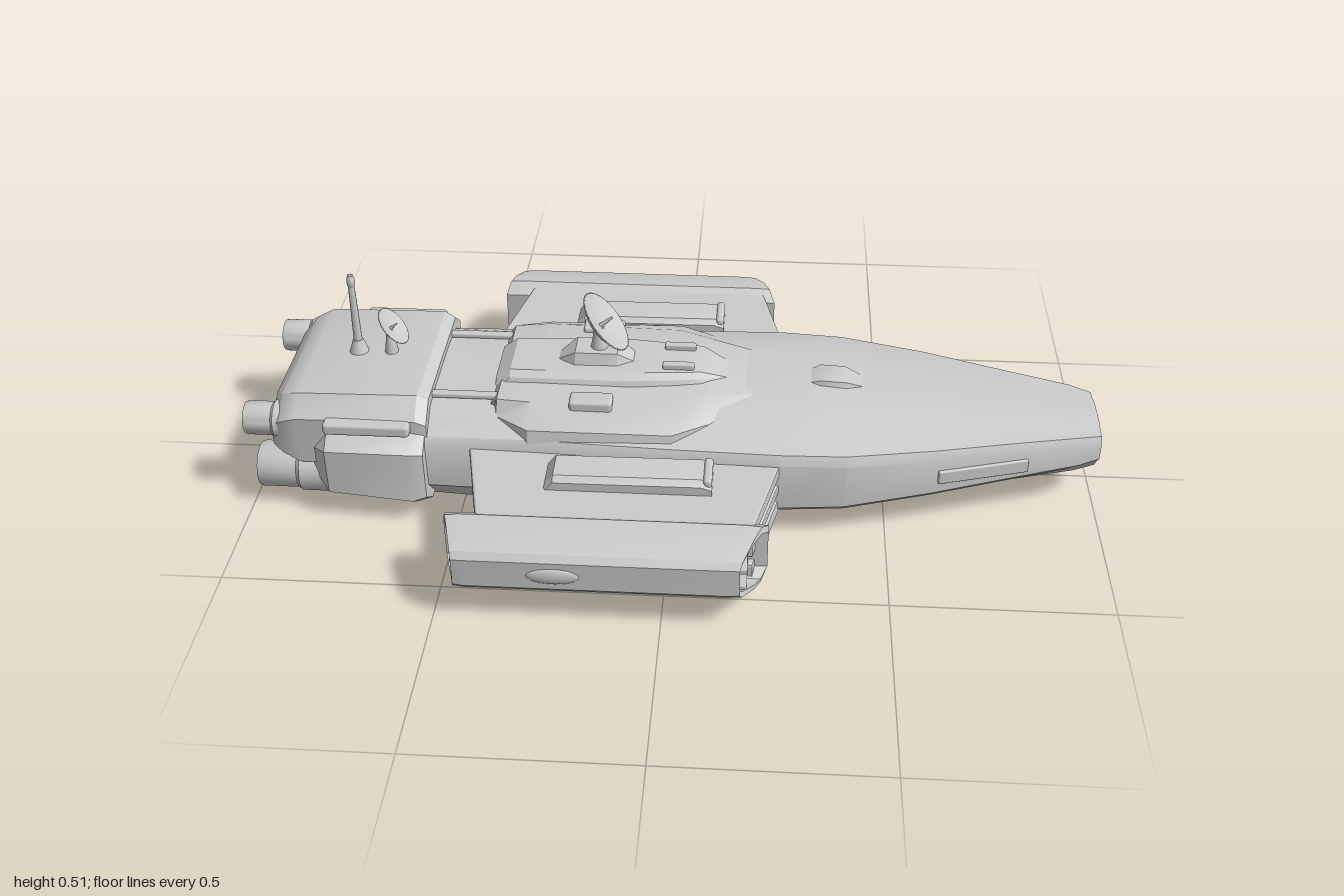
import * as THREE from 'three';
import { toCreasedNormals } from 'three/addons/utils/BufferGeometryUtils.js';
import { RoundedBoxGeometry } from 'three/addons/geometries/RoundedBoxGeometry.js';

const grey = new THREE.MeshStandardMaterial({ color: 0xcccccc });
const greyDouble = new THREE.MeshStandardMaterial({ color: 0xcccccc, side: THREE.DoubleSide });

function add(parent, name, geometry, x = 0, y = 0, z = 0, material = grey) {
  const mesh = new THREE.Mesh(geometry, material);
  mesh.name = name;
  mesh.position.set(x, y, z);
  parent.add(mesh);
  return mesh;
}

// Skin through closed rings of [x, y, z] running along +x, with capped ends
function loft(rings, crease = 0.5) {
  const n = rings[0].length, pos = [], idx = [];
  let area = 0;
  rings[0].forEach((p, j) => {
    const q = rings[0][(j + 1) % n];
    area += p[1] * q[2] - q[1] * p[2];
  });
  const ordered = rings.map(r => (area < 0 ? [...r].reverse() : r));
  ordered.forEach(r => r.forEach(p => pos.push(...p)));
  for (let i = 0; i < rings.length - 1; i++) {
    for (let j = 0; j < n; j++) {
      const k = (j + 1) % n, a = i * n + j, b = i * n + k;
      idx.push(a, b, a + n, b, b + n, a + n);
    }
  }
  [ordered[0], ordered[ordered.length - 1]].forEach((r, end) => {
    const c = pos.length / 3, base = end ? (rings.length - 1) * n : 0;
    pos.push(...[0, 1, 2].map(k => r.reduce((s, p) => s + p[k], 0) / n));
    for (let j = 0; j < n; j++) {
      const k = (j + 1) % n;
      idx.push(c, base + (end ? j : k), base + (end ? k : j));
    }
  });
  const g = new THREE.BufferGeometry();
  g.setAttribute('position', new THREE.Float32BufferAttribute(pos, 3));
  g.setIndex(idx);
  return toCreasedNormals(g, crease);
}

// Symmetric ring from a half outline of [z, y], listed top to bottom
const ringAt = (x, half) => [
  ...half.map(([z, y]) => [x, y, z]),
  ...[...half].reverse().map(([z, y]) => [x, y, -z]),
];

// Copy of a ring shrunk about its centre and moved along x
function inset(ring, scale, dx) {
  const c = [1, 2].map(k => ring.reduce((s, p) => s + p[k], 0) / ring.length);
  return ring.map(([x, y, z]) => [x + dx, c[0] + (y - c[0]) * scale, c[1] + (z - c[1]) * scale]);
}

// Horizontal slab with plan outline [x, z] between two heights
function slab(outline, y0, y1) {
  const shape = new THREE.Shape(outline.map(p => new THREE.Vector2(...p)));
  const b = 0.006;
  const g = new THREE.ExtrudeGeometry(shape, {
    depth: y1 - y0 - 2 * b, bevelThickness: b, bevelSize: b, bevelOffset: -b, bevelSegments: 2,
  });
  return g.rotateX(Math.PI / 2).translate(0, y1 - b, 0);
}

const box = (w, h, d, r = 0.008) => new RoundedBoxGeometry(w, h, d, 2, r);

// Dish on a stalk, facing up and toward the nose
function dish(name, radius, x, y, foot) {
  const g = new THREE.Group();
  g.name = name;
  const bowl = [[0, -0.2], [0.35, -0.17], [0.7, -0.06], [1, 0.12], [0.95, 0.14], [0.65, 0], [0, -0.1]];
  const head = new THREE.Group();
  head.position.set(x, y, 0);
  head.rotation.z = -0.87;
  add(head, 'bowl', new THREE.LatheGeometry(
    bowl.map(([r, h]) => new THREE.Vector2(r * radius, h * radius)), 28), 0, 0, 0, greyDouble);
  add(head, 'feed', new THREE.CylinderGeometry(radius * 0.04, radius * 0.08, radius * 0.5, 8), 0, radius * 0.1, 0);
  g.add(head);
  add(g, 'stalk', new THREE.CylinderGeometry(radius * 0.14, radius * 0.35, y - foot, 10),
    x - radius * 0.12, (y + foot) / 2 - radius * 0.1, 0);
  return g;
}

export function createModel() {
  const ship = new THREE.Group();
  ship.name = 'spaceship';

  // Main hull: x, bottom y, bottom half width, low y, half width, high y, top half width, top y
  const stations = [
    [-0.6, 0.015, 0.17, 0.07, 0.24, 0.21, 0.17, 0.272],
    [-0.3, 0.005, 0.18, 0.07, 0.25, 0.215, 0.16, 0.272],
    [0, 0.005, 0.18, 0.065, 0.265, 0.215, 0.15, 0.278],
    [0.25, 0.012, 0.175, 0.065, 0.272, 0.215, 0.14, 0.28],
    [0.4, 0.022, 0.16, 0.07, 0.264, 0.212, 0.13, 0.267],
    [0.6, 0.042, 0.13, 0.085, 0.22, 0.205, 0.11, 0.247],
    [0.8, 0.063, 0.1, 0.098, 0.163, 0.195, 0.09, 0.223],
    [0.95, 0.08, 0.077, 0.108, 0.122, 0.187, 0.08, 0.206],
    [1, 0.09, 0.065, 0.115, 0.103, 0.18, 0.07, 0.2],
  ];
  const hull = stations.map(([x, by, bw, ly, w, hy, tw, ty]) =>
    ringAt(x, [[tw * 0.5, ty], [tw, ty - 0.008], [w - 0.012, hy + 0.012], [w, hy - 0.01], [w, ly + 0.02], [w - 0.02, ly], [bw, by]]));
  const nose = hull[hull.length - 1];
  hull.push(inset(nose, 0.84, 0), inset(nose, 0.7, -0.07));
  add(ship, 'hull', loft(hull), 0, 0, 0);

  // Raised deck and bridge
  const deck = [[-0.43, 0.15, 0.15, 0.26], [-0.41, 0.18, 0.16, 0.285], [-0.33, 0.235, 0.17, 0.287],
    [0, 0.235, 0.16, 0.287], [0.08, 0.19, 0.12, 0.29], [0.2, 0.12, 0.09, 0.275]];
  add(ship, 'raisedDeck', loft(deck.map(([x, w, tw, y]) =>
    ringAt(x, [[tw, y], [w, y - 0.035], [w + 0.01, 0.2]]))));
  const bridge = [[-0.425, 0.08, 0.285], [-0.39, 0.085, 0.308], [-0.1, 0.09, 0.312], [0.06, 0.07, 0.31], [0.12, 0.045, 0.285]];
  add(ship, 'bridge', loft(bridge.map(([x, w, y]) => ringAt(x, [[w * 0.8, y], [w, y - 0.012], [w + 0.015, 0.26]]))));
  add(ship, 'dishBase', loft([[-0.28, 0.025, 0.31], [-0.24, 0.05, 0.338], [-0.14, 0.05, 0.338], [-0.1, 0.03, 0.31]]
    .map(([x, w, y]) => ringAt(x, [[w * 0.7, y], [w, 0.295]]))));
  add(ship, 'foredeckBlister', loft([[0.29, 0.03, 0.262], [0.34, 0.05, 0.283], [0.4, 0.05, 0.28], [0.46, 0.025, 0.255]]
    .map(([x, w, y]) => ringAt(x, [[w * 0.7, y], [w, 0.245]]))));

  // Stern block
  const stern = [[-0.935, 0.21, 0.13, 0.262, 0.17], [-0.91, 0.228, 0.17, 0.285, 0.16], [-0.87, 0.235, 0.185, 0.3, 0.14],
    [-0.59, 0.235, 0.185, 0.304, 0.14], [-0.565, 0.23, 0.18, 0.29, 0.15]];
  add(ship, 'sternUpperBlock', loft(stern.map(([x, w, tw, ty, by]) =>
    ringAt(x, [[tw, ty], [w, ty - 0.04], [w, by]]))));
  const lower = [[-0.89, 0.12, 0.05, 0.19], [-0.83, 0.15, 0.025, 0.21], [-0.57, 0.17, 0.015, 0.21]];
  add(ship, 'sternKeel', loft(lower.map(([x, w, by, ty]) => ringAt(x, [[w, ty], [w, by + 0.04], [w - 0.05, by]]))));
  ship.add(dish('sternDish', 0.05, -0.68, 0.37, 0.3));
  ship.add(dish('mainDish', 0.08, -0.175, 0.4, 0.31));

  // Antenna mast
  add(ship, 'antennaMast', new THREE.CylinderGeometry(0.007, 0.011, 0.21, 10), -0.765, 0.405, 0);
  add(ship, 'antennaFoot', new THREE.CylinderGeometry(0.012, 0.024, 0.035, 10), -0.765, 0.317, 0);
  add(ship, 'antennaTip', new THREE.SphereGeometry(0.01, 12, 8).scale(1, 2, 1), -0.765, 0.493, 0);

  for (const s of [1, -1]) {
    const side = new THREE.Group();
    side.name = s > 0 ? 'rightSide' : 'leftSide';
    ship.add(side);
    // The model faces +z, so +z parts are its front flank
    side.name = s > 0 ? 'frontFlank' : 'backFlank';

    // Wing of stacked slabs around a recessed core
    const plan = d => [[-0.475 + d, s * 0.2], [0.265 - d, s * 0.2], [0.195 - d, s * 0.5], [-0.41 + d, s * 0.5]];
    [[0.17, 0.202], [0.125, 0.152], [0.065, 0.105]].forEach(([a, b]) => add(side, 'wingSlab', slab(plan(0), a, b)));
    add(side, 'wingCore', slab(plan(0.025), 0.07, 0.195));
    add(side, 'wingHousing', loft([[-0.275, 0.21], [-0.255, 0.234], [0.075, 0.236], [0.1, 0.228]].map(([x, y]) =>
      [[0.298, y], [0.372, y], [0.386, y - 0.012], [0.386, 0.19], [0.286, 0.19], [0.286, y - 0.012]].map(([z, h]) => [x, h, s * z]))));
    add(side, 'housingFin', box(0.02, 0.03, 0.09), 0.09, 0.225, s * 0.336);

    // Wingtip pod, slanted and hollowed at both ends
    const outline = [[0.46, 0.19], [0.495, 0.213], [0.535, 0.21], [0.592, 0.19], [0.605, 0.175],
      [0.605, 0.105], [0.592, 0.09], [0.53, 0.06], [0.495, 0.052], [0.46, 0.07]];
    const podRing = (x, slant) => outline.map(([z, y]) => [x + slant * (z - 0.48), y, s * z]);
    const back = podRing(-0.48, 0.25), front = podRing(0.22, -0.4);
    const rim = podRing(-0.45, 0.2), rim2 = podRing(0.185, -0.35);
    add(side, 'wingtipPod', loft([inset(back, 0.72, 0.06), inset(back, 0.8, 0), inset(back, 0.96, 0), rim,
      rim2, inset(front, 0.97, 0), inset(front, 0.8, 0), inset(front, 0.7, -0.08)]));
    for (const y of [0.112, 0.156]) {
      add(side, 'podRib', box(0.06, 0.014, 0.11, 0.004), 0.155, y, s * 0.53);
      add(side, 'podRib', box(0.05, 0.014, 0.11, 0.004), -0.43, y, s * 0.53);
    }
    add(side, 'podBlister', new THREE.SphereGeometry(0.06, 16, 10).scale(1, 0.35, 0.16), -0.23, 0.14, s * 0.603);

    // Stern side housing
    const flank = [[-0.85, 0.215, 0.07, 0.18], [-0.8, 0.27, 0.035, 0.2], [-0.6, 0.282, 0.025, 0.208], [-0.57, 0.27, 0.03, 0.2]];
    add(side, 'sternHousing', loft(flank.map(([x, w, by, ty]) =>
      [[0.12, ty + 0.03], [w - 0.04, ty + 0.025], [w, ty - 0.005], [w, by + 0.045], [w - 0.06, by], [0.12, by]].map(([z, y]) => [x, y, s * z]))));
    add(side, 'sternUpperRib', box(0.2, 0.03, 0.05), -0.7, 0.25, s * 0.235);

    // Hollow engine nozzles
    for (const [name, r, len, x, y] of [['mainEngine', 0.055, 0.17, -0.98, 0.09], ['upperEngine', 0.04, 0.12, -1, 0.222]]) {
      const profile = [[0, 0.05], [0.75, 0.05], [0.82, 0], [0.95, 0], [1, 0.008], [1, len * 0.55], [1.12, len * 0.6], [1.12, len]]
        .map(([a, h]) => new THREE.Vector2(a * r, h));
      const nozzle = toCreasedNormals(new THREE.LatheGeometry(profile, 24).rotateZ(-Math.PI / 2), 0.6);
      add(side, name, nozzle, x, y, s * 0.18, greyDouble);
    }

    // Small deck fittings
    add(side, 'deckHatch', box(0.1, 0.03, 0.05), -0.19, 0.285, s * 0.16);
    add(side, 'bridgeFitting', box(0.075, 0.022, 0.018, 0.005), 0.005, 0.314, s * 0.042);
    add(side, 'deckRail', box(0.22, 0.014, 0.02, 0.005), -0.48, 0.274, s * 0.13);
    const panel = add(side, 'nosePanel', box(0.22, 0.035, 0.012, 0.004), 0.72, 0.15, s * 0.187);
    panel.rotation.y = s * 0.28;
  }
  return ship;
}
